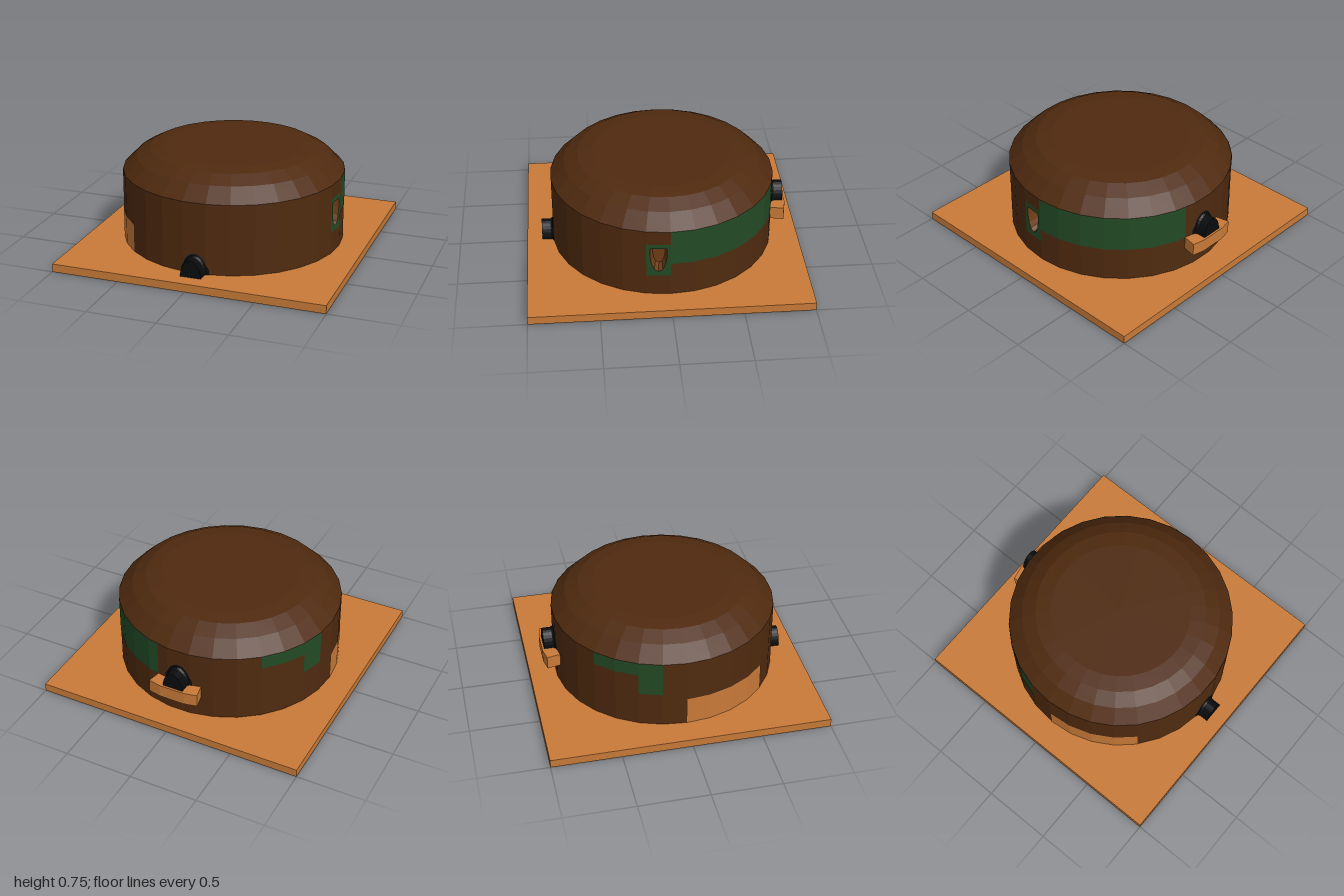
import * as THREE from 'three';

const BROWN = 0x4f2a0f, ORANGE = 0xc87a38, GREEN = 0x234a25, BLACK = 0x090b0d, NICHE = 0x6e3b16;
const R = 0.81, COS6 = Math.cos(Math.PI / 30);
const rad = (d) => (d * Math.PI) / 180;

function part(name, geometry, color, double = false) {
  const material = new THREE.MeshStandardMaterial({ color, flatShading: true });
  if (double) material.side = THREE.DoubleSide;
  const mesh = new THREE.Mesh(geometry, material);
  mesh.name = name;
  return mesh;
}

// Point on a 30-sided plan; angle in degrees (multiple of 6) from +z towards +x
function planPoint(deg, r) {
  const k = deg % 12 === 0 ? r * COS6 : r;
  return [k * Math.sin(rad(deg)), k * Math.cos(rad(deg))];
}

// Skin stretched over equal-length rings, last ring capped if wanted
function loft(rings, closed, cap) {
  const n = rings[0].length, pos = rings.flat(2), idx = [];
  for (let i = 0; i < rings.length - 1; i++) {
    for (let j = 0; j < (closed ? n : n - 1); j++) {
      const a = i * n + j, b = i * n + ((j + 1) % n);
      idx.push(a, b, b + n, a, b + n, a + n);
    }
  }
  const last = (rings.length - 1) * n;
  if (cap) for (let j = 1; j < n - 1; j++) idx.push(last, last + j, last + j + 1);
  const g = new THREE.BufferGeometry();
  g.setAttribute('position', new THREE.Float32BufferAttribute(pos, 3));
  g.setIndex(idx);
  g.computeVertexNormals();
  return g;
}

// Strip of wall following the 30-sided plan
function wallBand(from, to, y0, y1, r = R) {
  const row = (y) => {
    const pts = [];
    for (let d = from; d <= to; d += 6) {
      const [x, z] = planPoint(d, r);
      pts.push([x, y, z]);
    }
    return pts;
  };
  return loft([row(y0), row(y1)], false, false);
}

// Arched tunnel mouth that flares where it meets the wall
function archway(name, y) {
  const ring = ([w, h, z]) => {
    const pts = [];
    for (let i = 0; i <= 14; i++) {
      const t = (Math.PI * i) / 14;
      pts.push([w * Math.cos(t), y + h * Math.sin(t), z]);
    }
    return pts;
  };
  const sections = [[0.12, 0.185, 0.79], [0.105, 0.155, 0.802], [0.085, 0.132, 0.81], [0.076, 0.122, 0.825], [0.076, 0.122, 0.89]];
  return part(name, loft(sections.map(ring), true, true), BLACK, true);
}

// One flat wall facet holding a niche window in a green surround
function windowFacet() {
  const group = new THREE.Group();
  group.name = 'windowFacet';
  const hw = R * Math.sin(rad(6));
  const hole = [[-0.06, 0.44], [-0.058, 0.37], [-0.048, 0.31], [-0.03, 0.268], [0, 0.25],
    [0.03, 0.268], [0.048, 0.31], [0.058, 0.37], [0.06, 0.44]];
  const plate = (y0, y1) => new THREE.Shape([[-hw, y0], [hw, y0], [hw, y1], [-hw, y1]].map((p) => new THREE.Vector2(...p)));
  const surround = plate(0.215, 0.475);
  surround.holes.push(new THREE.Path(hole.map((p) => new THREE.Vector2(...p))));
  group.add(part('windowSurround', new THREE.ShapeGeometry(surround), GREEN, true));
  group.add(part('wallBelowWindow', new THREE.ShapeGeometry(plate(0.06, 0.215)), BROWN, true));
  group.add(part('wallAboveWindow', new THREE.ShapeGeometry(plate(0.475, 0.58)), BROWN, true));
  const ring = (s, z) => hole.map(([x, y]) => [x * s, 0.36 + (y - 0.36) * s, z]);
  group.add(part('windowNiche', loft([ring(1, 0), ring(0.75, -0.07)], true, true), NICHE, true));
  group.rotation.y = rad(84);
  group.position.set(R * COS6 * Math.sin(rad(84)), 0, R * COS6 * Math.cos(rad(84)));
  return group;
}

export function createModel() {
  const model = new THREE.Group();
  model.name = 'roundHouse';

  // Square ground slab
  const ground = part('groundSlab', new THREE.BoxGeometry(2, 0.06, 2), ORANGE);
  ground.position.y = 0.03;
  model.add(ground);

  // Round wall, open where the window facet sits
  model.add(part('wall', wallBand(90, 438, 0.06, 0.58), BROWN, true));
  model.add(windowFacet());

  // Low domed roof
  const profile = [[R, 0.58], [0.71, 0.68], [0.61, 0.735], [0.5, 0.75], [0, 0.75]].map((p) => new THREE.Vector2(...p));
  model.add(part('roof', new THREE.LatheGeometry(profile, 30, rad(6)), BROWN, true));

  // Painted panels lying on the wall
  [
    ['greenSidePanel', 90, 168, 0.315, 0.58, GREEN],
    ['greenEavePanel', 222, 246, 0.48, 0.58, GREEN],
    ['greenDropPanel', 246, 258, 0.32, 0.58, GREEN],
    ['orangeWallPanel', 270, 318, 0.06, 0.27, ORANGE],
  ].forEach(([name, a, b, y0, y1, color]) => model.add(part(name, wallBand(a, b, y0, y1, R + 0.002), color, true)));

  // Ground door in front, balcony door behind
  model.add(archway('frontDoor', 0.06));
  const backDoor = archway('backDoor', 0.315);
  backDoor.rotation.y = Math.PI;
  model.add(backDoor);

  // Curved balcony block
  const outline = [];
  for (let d = 168; d <= 192; d += 6) outline.push(planPoint(d, 0.91));
  for (let d = 192; d >= 168; d -= 6) outline.push(planPoint(d, 0.805));
  const shape = new THREE.Shape(outline.map(([x, z]) => new THREE.Vector2(x, -z)));
  const balcony = part('balcony', new THREE.ExtrudeGeometry(shape, { depth: 0.095, bevelEnabled: false }), ORANGE);
  balcony.rotation.x = -Math.PI / 2;
  balcony.position.y = 0.22;
  model.add(balcony);

  return model;
}
